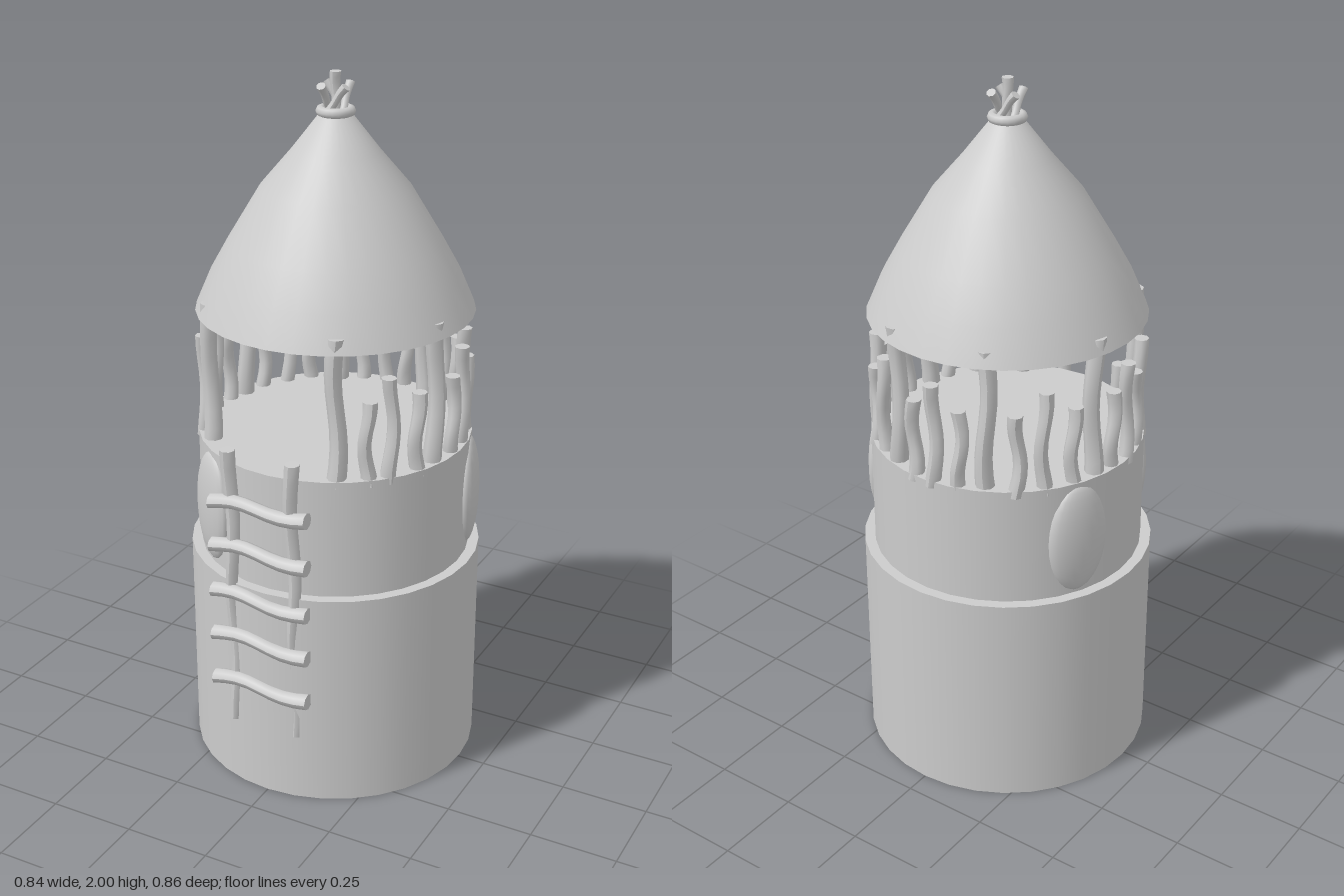
import * as THREE from 'three';

const CZ = -0.012; // axis of the tower
const material = new THREE.MeshStandardMaterial({ color: 0xcccccc, side: THREE.DoubleSide });

let seed = 7;
const rand = () => (seed = (seed * 16807) % 2147483647) / 2147483647;
const vary = (a) => (rand() * 2 - 1) * a;

function add(parent, name, geometry, x = 0, y = 0, z = 0) {
  const mesh = new THREE.Mesh(geometry, material);
  mesh.name = name;
  mesh.position.set(x, y, z);
  parent.add(mesh);
  return mesh;
}

function lathe(parent, name, profile) {
  const points = profile.map(([r, y]) => new THREE.Vector2(r, y));
  return add(parent, name, new THREE.LatheGeometry(points, 32), 0, 0, CZ);
}

// Crooked stick along y, from 0 to length, with a gentle S-bend
function stick(length, r0, r1, bend, phase = 0, waves = 1) {
  const g = new THREE.CylinderGeometry(r1, r0, length, 8, 8 * waves);
  g.translate(0, length / 2, 0);
  const p = g.attributes.position;
  for (let i = 0; i < p.count; i++) {
    const t = p.getY(i) / length;
    const a = t * waves * Math.PI * 2 + phase;
    const swell = 1 - 0.12 * Math.sin(t * Math.PI);
    p.setX(i, p.getX(i) * swell + bend * Math.sin(a));
    p.setZ(i, p.getZ(i) * swell + bend * 0.5 * Math.cos(a));
  }
  g.computeVertexNormals();
  return g;
}

function buildTower(root) {
  lathe(root, 'baseWall', [[0.418, 0], [0.418, 0.645]]);
  lathe(root, 'baseLedge', [[0.418, 0.645], [0.386, 0.645]]);
  lathe(root, 'upperWall', [[0.388, 0.645], [0.388, 0.99]]);
  lathe(root, 'floor', [[0.388, 0.99], [0, 0.99]]);
  lathe(root, 'roof', [[0.388, 1.35], [0.345, 1.45], [0.295, 1.54],
    [0.205, 1.69], [0.12, 1.79], [0.05, 1.88], [0, 1.905]]);
}

// Oval bulging windows
function buildWindows(root) {
  for (const [x, z] of [[-0.24, 0.32], [-0.365, -0.18], [0.38, -0.14]]) {
    const angle = Math.atan2(x, z - CZ);
    const g = new THREE.SphereGeometry(1, 20, 14).scale(0.09, 0.165, 0.035);
    const w = add(root, 'window', g, 0.38 * Math.sin(angle), 0.815, CZ + 0.38 * Math.cos(angle));
    w.rotation.y = angle;
  }
}

// Fence with a gap at the ladder; tall posts carry the roof
function buildFence(root) {
  const fence = new THREE.Group();
  fence.name = 'fence';
  root.add(fence);
  const tall = [[0.17, 0.31], [0.34, 0.07], [0.12, -0.345],
    [-0.16, -0.335], [-0.335, -0.1], [-0.27, 0.23]]
    .map(([x, z]) => (Math.atan2(x, z - CZ) + Math.PI * 2) % (Math.PI * 2));
  const post = (name, angle, top, r, radius) => {
    const m = add(fence, name, stick(top - 0.97, radius * 1.1, radius, 0.008, rand() * 6),
      r * Math.sin(angle), 0.97, CZ + r * Math.cos(angle));
    m.rotation.y = angle;
  };
  tall.forEach((a, i) => {
    post('roofPost', a, 1.39, 0.355, 0.025);
    if (i === tall.length - 1) return;
    // Short posts fill the span to the next tall post
    const span = tall[i + 1] - a;
    const n = Math.round(span / 0.2);
    for (let k = 1; k < n; k++) {
      post('fencePost', a + span * k / n + vary(0.02), k % 2 ? 1.21 : 1.27, 0.366, 0.021);
    }
  });
}

function buildLadder(root) {
  const ladder = new THREE.Group();
  ladder.name = 'ladder';
  root.add(ladder);
  for (const x of [-0.11, 0.08]) {
    const rail = add(ladder, 'ladderRail', stick(0.85, 0.018, 0.022, 0.006, x * 10, 2), x, 0.2, 0.38);
    rail.rotation.x = 0.014;
  }
  for (const y of [0.335, 0.48, 0.615, 0.76, 0.89]) {
    const rung = add(ladder, 'ladderRung', stick(0.3, 0.022, 0.024, 0.01, 2.6 + vary(0.4)), -0.17, y, 0.403);
    rung.rotation.z = -Math.PI / 2 + vary(0.03);
  }
}

// Tied bundle of sticks at the peak
function buildFinial(root) {
  const finial = new THREE.Group();
  finial.name = 'finial';
  finial.position.set(0, 1.89, CZ);
  root.add(finial);
  const ring = add(finial, 'binding', new THREE.TorusGeometry(0.04, 0.014, 8, 20), 0, 0.005, 0);
  ring.rotation.x = Math.PI / 2;
  add(finial, 'centreStick', stick(0.11, 0.014, 0.016, 0.002));
  for (let i = 0; i < 4; i++) {
    const pivot = new THREE.Group();
    pivot.name = 'splayedStick';
    pivot.rotation.y = i * Math.PI / 2 + 0.1;
    finial.add(pivot);
    const s = add(pivot, 'stick', stick(0.095, 0.011, 0.013, 0.002), -0.018, 0, 0.025);
    s.rotation.z = -0.65;
  }
}

export function createModel() {
  const root = new THREE.Group();
  root.name = 'watchtower';
  buildTower(root);
  buildWindows(root);
  buildFence(root);
  buildLadder(root);
  buildFinial(root);
  return root;
}
